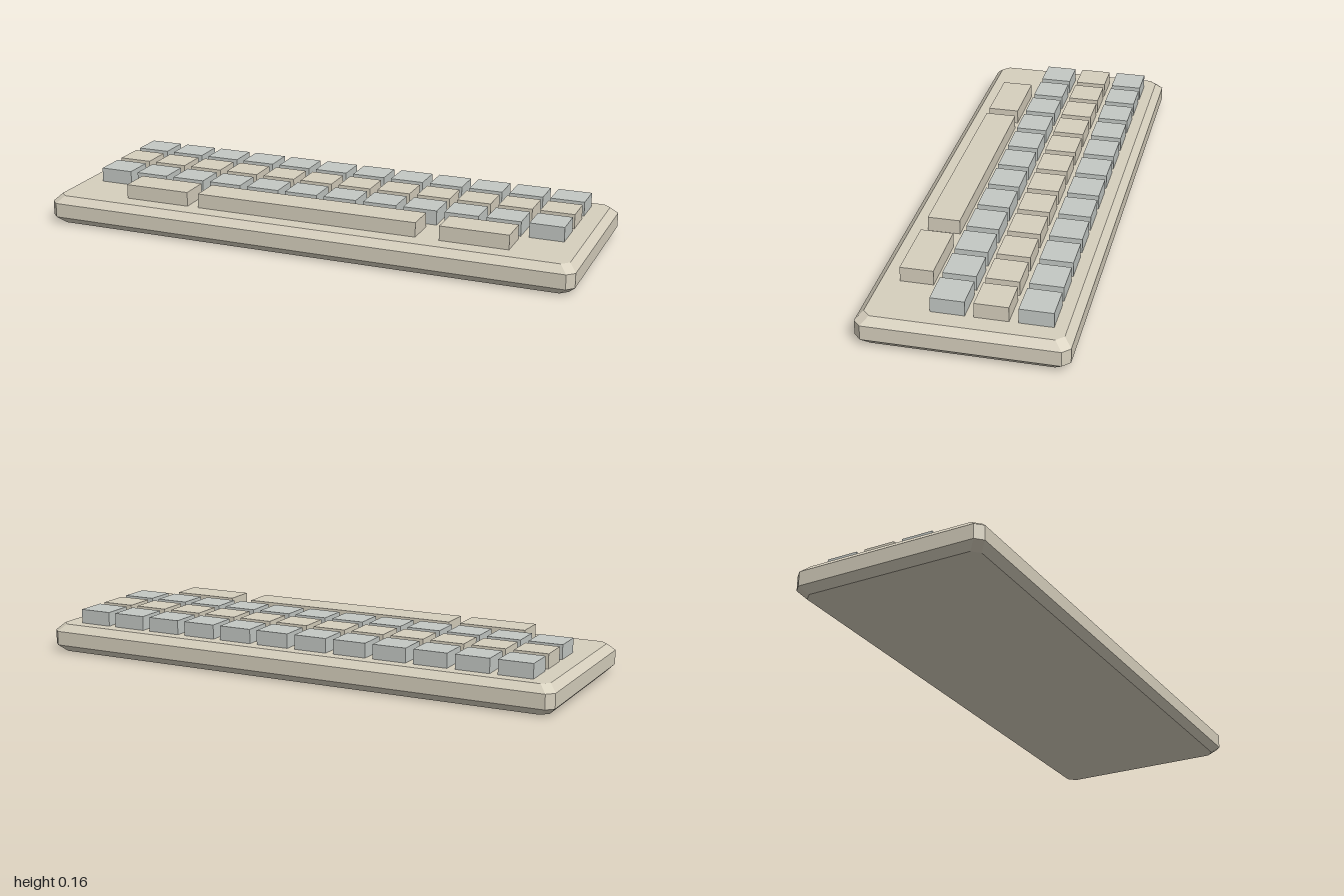
import * as THREE from 'three';

const beige = new THREE.MeshStandardMaterial({ color: 0xd6cfbd, flatShading: true });
const grey = new THREE.MeshStandardMaterial({ color: 0xc3c8c4, flatShading: true });

const HALF_X = 1, HALF_Z = 0.357, TOP = 0.105, CHAMFER = 0.026;

// Corner-cut rectangle at one height, seen from above
function outline(inset, y) {
  const x = HALF_X - inset, z = HALF_Z - inset, c = CHAMFER;
  return [[x, z - c], [x, c - z], [x - c, -z], [c - x, -z], [-x, c - z], [-x, z - c], [c - x, z], [x - c, z]]
    .map(([px, pz]) => new THREE.Vector3(px, y, pz));
}

// Skins stacked outlines and caps both ends
function loft(rings) {
  const pos = [];
  const tri = (...pts) => pts.forEach((p) => pos.push(p.x, p.y, p.z));
  const n = rings[0].length;
  for (let r = 0; r < rings.length - 1; r++) {
    for (let i = 0; i < n; i++) {
      const j = (i + 1) % n;
      const a = rings[r][i], b = rings[r][j], c = rings[r + 1][j], d = rings[r + 1][i];
      tri(a, b, c);
      tri(a, c, d);
    }
  }
  const low = rings[0], high = rings[rings.length - 1];
  for (let i = 1; i < n - 1; i++) {
    tri(low[0], low[i + 1], low[i]);
    tri(high[0], high[i], high[i + 1]);
  }
  const geo = new THREE.BufferGeometry();
  geo.setAttribute('position', new THREE.Float32BufferAttribute(pos, 3));
  geo.computeVertexNormals();
  return geo;
}

export function createModel() {
  const model = new THREE.Group();
  model.name = 'keyboard';

  // Case with chamfered edges
  const body = new THREE.Mesh(loft([
    outline(CHAMFER, 0),
    outline(0, CHAMFER),
    outline(0, TOP - CHAMFER),
    outline(CHAMFER, TOP),
  ]), beige);
  body.name = 'case';
  model.add(body);

  const keyDepth = 0.116, keyTop = 0.158, keyBase = 0.1;
  const addKey = (name, x, z, width, material) => {
    const key = new THREE.Mesh(new THREE.BoxGeometry(width, keyTop - keyBase, keyDepth), material);
    key.name = name;
    key.position.set(x, (keyTop + keyBase) / 2, z);
    model.add(key);
  };

  // Three rows of twelve square keys
  const rowZ = [-0.23, -0.083, 0.063];
  rowZ.forEach((z, row) => {
    for (let i = 0; i < 12; i++) {
      addKey(`key${row + 1}_${i + 1}`, (i - 5.5) * 0.1537, z, 0.125, row === 1 ? beige : grey);
    }
  });

  // Front row: space bar and two wide keys
  addKey('rightWideKey', -0.591, 0.21, 0.25, beige);
  addKey('spaceBar', -0.002, 0.21, 0.84, beige);
  addKey('leftWideKey', 0.629, 0.21, 0.25, beige);

  return model;
}
